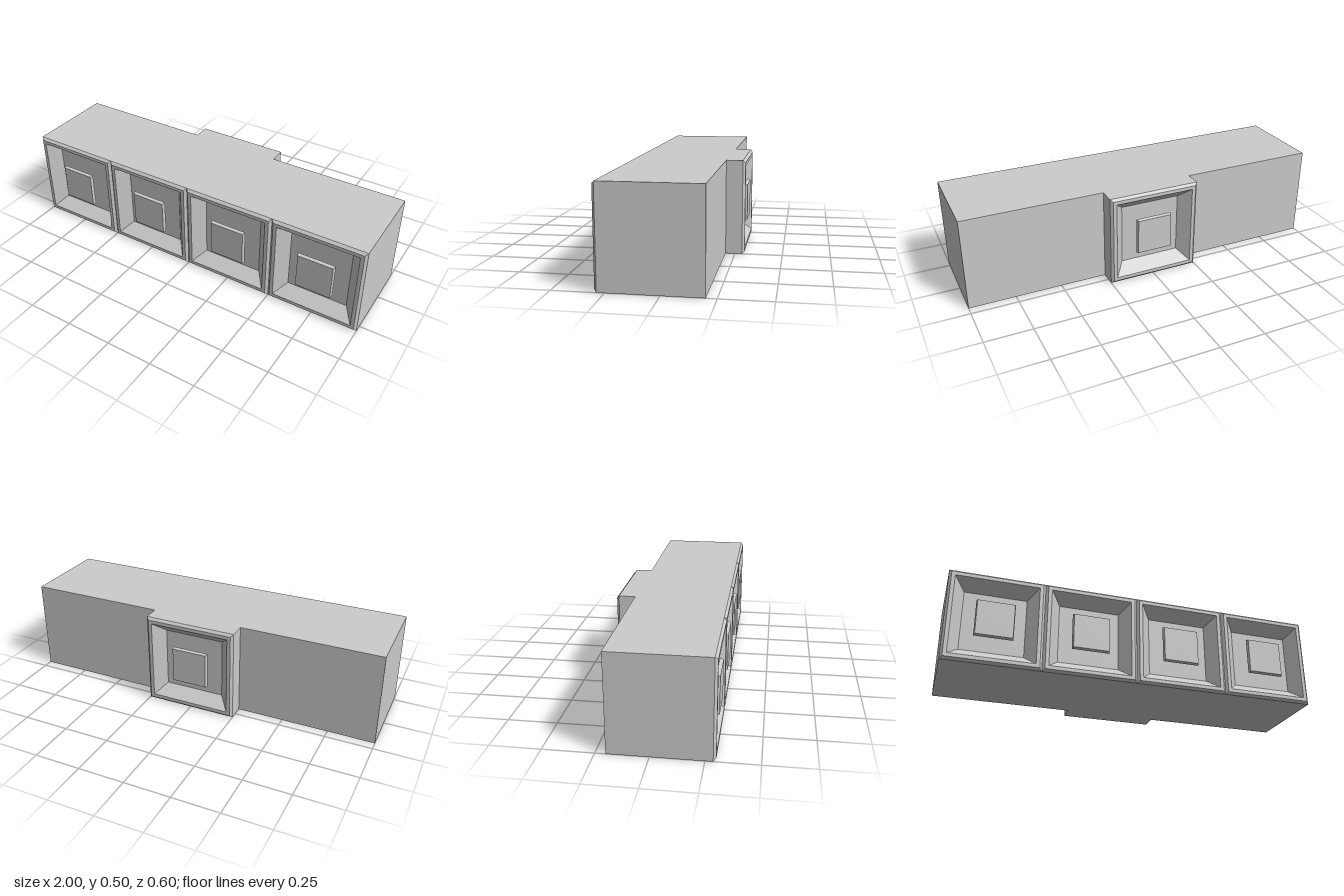
import * as THREE from 'three';

const material = new THREE.MeshStandardMaterial({ color: 0xcccccc, flatShading: true });

// Square solid swept from a profile of [half width, z], running from back to front
function squareProfile(points) {
  const profile = points.map(([half, z]) => new THREE.Vector2(half * Math.SQRT2, z));
  const geometry = new THREE.LatheGeometry(profile, 4);
  geometry.rotateY(Math.PI / 4).rotateX(Math.PI / 2);
  const flat = geometry.toNonIndexed();
  flat.computeVertexNormals();
  return flat;
}

function part(name, geometry) {
  const mesh = new THREE.Mesh(geometry, material);
  mesh.name = name;
  return mesh;
}

// Frame with chamfered rim, sloping recess and flat floor
const frameGeometry = squareProfile([
  [0.25, 0], [0.25, 0.087], [0.237, 0.1], [0.218, 0.1], [0.163, 0.035], [0, 0.035],
]);
// Thin raised plate with a slightly tapered edge
const plateGeometry = squareProfile([
  [0, 0.082], [0.1, 0.082], [0.1, 0.085], [0.095, 0.1], [0, 0.1],
]);
// Slim support hidden behind the plate
const stemGeometry = squareProfile([[0.035, 0.035], [0.035, 0.082]]);

function connector(name) {
  const group = new THREE.Group();
  group.name = name;
  group.add(
    part('recessedFrame', frameGeometry),
    part('centrePlate', plateGeometry),
    part('plateStem', stemGeometry),
  );
  return group;
}

export function createModel() {
  const model = new THREE.Group();
  model.name = 'connectorBlock';

  // Main body
  const body = part('body', new THREE.BoxGeometry(2, 0.5, 0.4));
  body.position.y = 0.25;
  model.add(body);

  // Row of four connectors along the front
  for (let i = 0; i < 4; i++) {
    const front = connector('frontConnector' + (i + 1));
    front.position.set(-0.75 + i * 0.5, 0.25, 0.2);
    model.add(front);
  }

  // Single connector in the middle of the back
  const back = connector('backConnector');
  back.position.set(0, 0.25, -0.2);
  back.rotation.y = Math.PI;
  model.add(back);

  return model;
}
